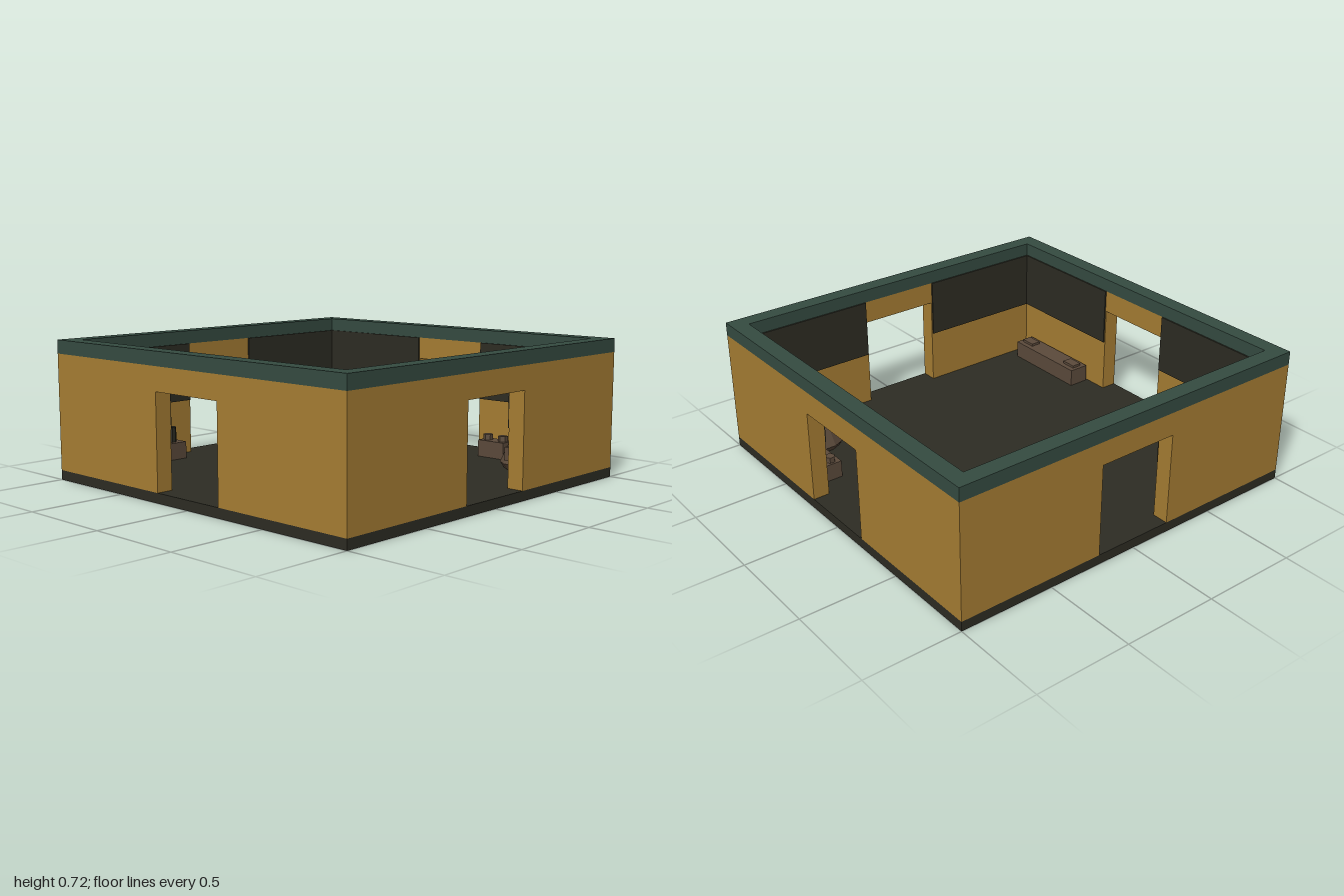
import * as THREE from 'three';

const mat = (name, color) => {
  const m = new THREE.MeshStandardMaterial({ color });
  m.name = name;
  return m;
};

export function createModel() {
  const room = new THREE.Group();
  room.name = 'openRoom';
  const ochre = mat('ochre', 0xa67d33);
  const green = mat('darkGreen', 0x354b41);
  const dark = mat('charcoal', 0x2d2c23);
  const brown = mat('brown', 0x5b4a3b);

  const add = (parent, name, geo, material, x = 0, y = 0, z = 0) => {
    const m = new THREE.Mesh(geo, material);
    m.name = name;
    m.position.set(x, y, z);
    parent.add(m);
    return m;
  };
  // box and faceted cylinder standing on the given height
  const box = (p, name, w, h, d, material, x, y, z) =>
    add(p, name, new THREE.BoxGeometry(w, h, d), material, x, y + h / 2, z);
  const drum = (p, name, rTop, rBottom, h, sides, material, x, y, z) =>
    add(p, name, new THREE.CylinderGeometry(rTop, rBottom, h, sides).toNonIndexed(), material, x, y + h / 2, z)
      .geometry.computeVertexNormals();
  const group = (name, x, y, z) => {
    const g = new THREE.Group();
    g.name = name;
    g.position.set(x, y, z);
    room.add(g);
    return g;
  };

  const FLOOR = 0.05, WALL_TOP = 0.65, TOP = 0.72, DOOR = 0.215, DOOR_TOP = 0.53;
  const T = 0.086, INNER = 1 - T;

  box(room, 'floor', 2, FLOOR, 2, dark, 0, 0, 0);

  // four walls, each with a doorway and two dark upper panels inside
  for (let i = 0; i < 4; i++) {
    const side = group('wall', 0, 0, 0);
    side.rotation.y = i * Math.PI / 2;
    const half = i % 2 ? INNER : 1;
    const outline = new THREE.Shape([
      [-half, FLOOR], [-DOOR, FLOOR], [-DOOR, DOOR_TOP], [DOOR, DOOR_TOP],
      [DOOR, FLOOR], [half, FLOOR], [half, WALL_TOP], [-half, WALL_TOP],
    ].map(([x, y]) => new THREE.Vector2(x, y)));
    add(side, 'wallWithDoorway', new THREE.ExtrudeGeometry(outline, { depth: T, bevelEnabled: false }), ochre, 0, 0, INNER);
    for (const s of [-1, 1]) {
      const w = INNER - 0.22;
      box(side, 'upperPanel', w, WALL_TOP - 0.34, 0.008, dark, s * (0.22 + w / 2), 0.34, INNER - 0.004);
    }
  }

  // coping around the top of the walls
  const rim = new THREE.Shape([[-1, -1], [1, -1], [1, 1], [-1, 1]].map(([x, y]) => new THREE.Vector2(x, y)));
  rim.holes.push(new THREE.Path([[-1, -1], [-1, 1], [1, 1], [1, -1]].map(([x, y]) => new THREE.Vector2(x * INNER, y * INNER))));
  const coping = new THREE.ExtrudeGeometry(rim, { depth: TOP - WALL_TOP, bevelEnabled: false });
  coping.rotateX(-Math.PI / 2);
  add(room, 'coping', coping, green, 0, WALL_TOP, 0);

  // round plinth with a small legged body on it
  const plinth = group('plinthDisplay', -0.635, FLOOR, -0.64);
  drum(plinth, 'plinth', 0.13, 0.13, 0.06, 16, brown, 0, 0, 0);
  for (const sx of [-1, 1]) for (const sz of [-1, 1]) {
    const leg = add(plinth, 'displayLeg', new THREE.CylinderGeometry(0.006, 0.006, 0.1, 6), ochre, sx * 0.035, 0.105, sz * 0.025);
    leg.rotation.z = sx * 0.18;
    drum(plinth, 'displayFoot', 0.01, 0.012, 0.01, 6, ochre, sx * 0.044, 0.06, sz * 0.025);
  }
  drum(plinth, 'displayBody', 0.045, 0.032, 0.045, 10, ochre, 0, 0.14, 0);
  drum(plinth, 'displayTop', 0.035, 0.045, 0.035, 10, ochre, 0, 0.185, 0);

  // faceted cone with a flat top and a hatch
  const cone = group('coneDisplay', 0.695, FLOOR, -0.7);
  drum(cone, 'coneBody', 0.04, 0.145, 0.24, 14, brown, 0, 0.03, 0);
  drum(cone, 'coneBase', 0.145, 0.125, 0.03, 14, brown, 0, 0, 0);
  box(cone, 'hatch', 0.1, 0.07, 0.03, brown, 0, 0.05, 0.125);

  // small cabinet with two hexagonal knobs
  const cabinet = group('cabinet', 0.398, FLOOR, -0.82);
  box(cabinet, 'cabinetBody', 0.165, 0.09, 0.09, brown, 0, 0, 0);
  for (const s of [-1, 1]) drum(cabinet, 'hexKnob', 0.026, 0.026, 0.03, 6, brown, s * 0.049, 0.09, 0);

  // low bench with four dark canisters
  const rack = group('canisterBench', -0.848, FLOOR, 0.595);
  box(rack, 'benchBody', 0.115, 0.09, 0.49, brown, 0, 0, 0);
  for (const z of [-0.185, -0.083, 0.083, 0.185]) drum(rack, 'canister', 0.031, 0.031, 0.08, 10, dark, 0, 0.09, z);

  // long counter with two raised slabs
  const counter = group('counter', 0.597, FLOOR, 0.845);
  box(counter, 'counterBody', 0.495, 0.095, 0.113, brown, 0, 0, 0);
  for (const s of [-1, 1]) box(counter, 'counterSlab', 0.085, 0.014, 0.055, brown, s * 0.185, 0.095, 0);

  // two loose stones
  for (const [x, z] of [[-0.555, 0.81], [-0.435, 0.793]])
    add(room, 'stone', new THREE.IcosahedronGeometry(0.024, 0), brown, x, FLOOR + 0.02, z);

  return room;
}
